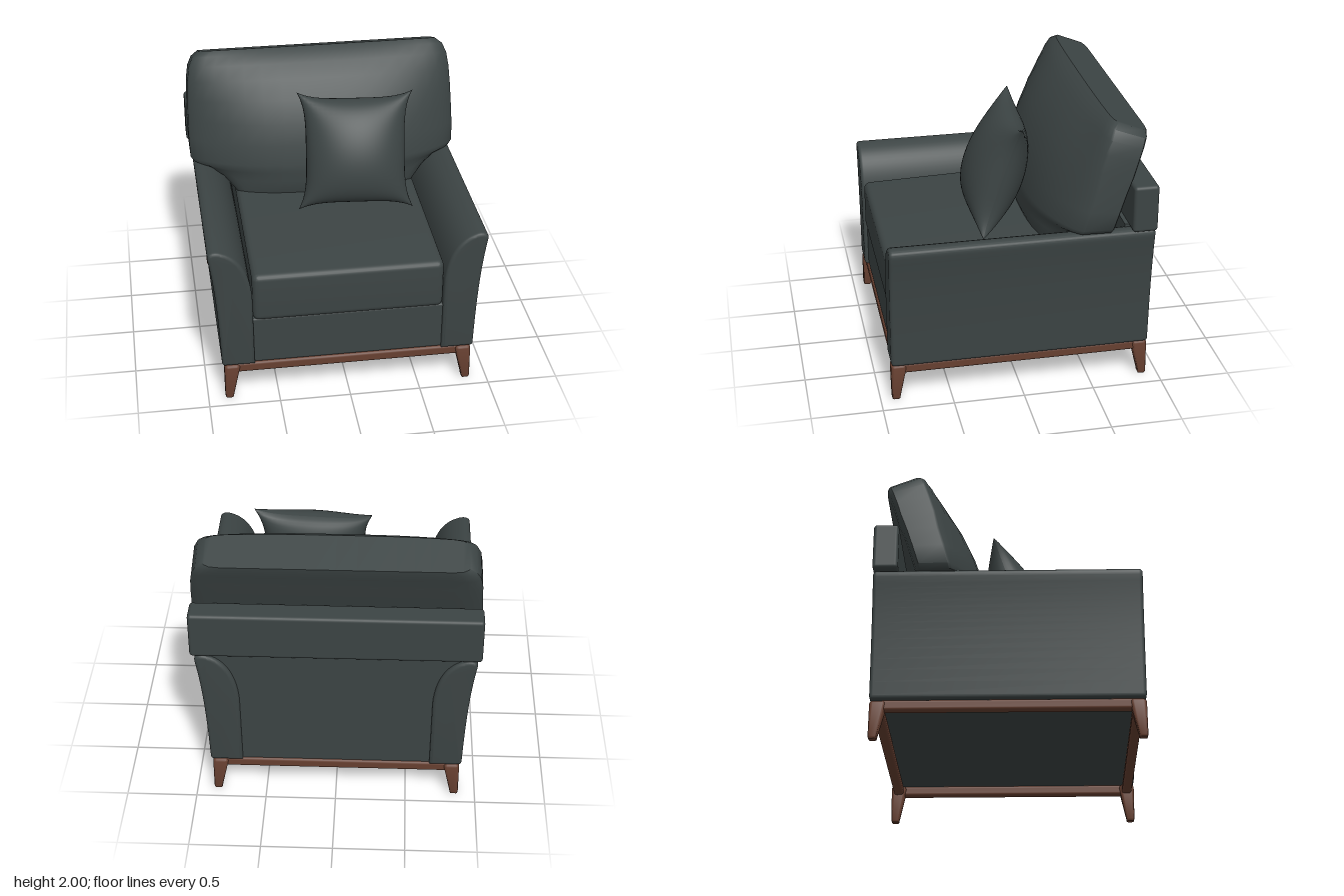
import * as THREE from 'three';
import { toCreasedNormals } from 'three/addons/utils/BufferGeometryUtils.js';
import { RoundedBoxGeometry } from 'three/addons/geometries/RoundedBoxGeometry.js';

const fabric = new THREE.MeshStandardMaterial({ color: 0x3c4444 });
fabric.name = 'charcoal fabric';
const wood = new THREE.MeshStandardMaterial({ color: 0x663f30 });
wood.name = 'walnut wood';

function add(parent, name, geometry, material, x = 0, y = 0, z = 0) {
  const mesh = new THREE.Mesh(geometry, material);
  mesh.name = name;
  mesh.position.set(x, y, z);
  parent.add(mesh);
  return mesh;
}

// Moves every vertex by a rule, then refreshes the normals
function warp(geometry, rule, crease) {
  const p = geometry.attributes.position;
  const v = new THREE.Vector3();
  for (let i = 0; i < p.count; i++) {
    rule(v.fromBufferAttribute(p, i));
    p.setXYZ(i, v.x, v.y, v.z);
  }
  if (crease) return toCreasedNormals(geometry, crease);
  geometry.computeVertexNormals();
  return geometry;
}

// Flared arm: outline of its front, drawn out along z
function armGeometry(side) {
  const s = new THREE.Shape();
  s.moveTo(side * 0.665, 0.275);
  s.lineTo(side * 0.67, 0.82);
  s.bezierCurveTo(side * 0.68, 1.0, side * 0.74, 1.15, side * 0.87, 1.195);
  s.quadraticCurveTo(side * 0.92, 1.215, side * 0.95, 1.195);
  s.quadraticCurveTo(side * 0.968, 1.185, side * 0.965, 1.15);
  s.bezierCurveTo(side * 0.93, 0.95, side * 0.91, 0.75, side * 0.895, 0.3);
  s.quadraticCurveTo(side * 0.895, 0.275, side * 0.87, 0.275);
  s.closePath();
  const g = new THREE.ExtrudeGeometry(s, {
    depth: 1.79, bevelThickness: 0.025, bevelSize: 0.025, bevelOffset: -0.025, bevelSegments: 4, curveSegments: 14,
  });
  g.translate(0, 0, -0.895);
  return toCreasedNormals(g, 0.7);
}

// Rear panel that fills the space between the flared arms
function backPanelGeometry() {
  const s = new THREE.Shape();
  s.moveTo(-0.69, 0.28);
  s.lineTo(0.69, 0.28);
  s.lineTo(0.69, 0.82);
  s.bezierCurveTo(0.7, 1.0, 0.76, 1.13, 0.88, 1.19);
  s.lineTo(0.88, 1.22);
  s.lineTo(-0.88, 1.22);
  s.lineTo(-0.88, 1.19);
  s.bezierCurveTo(-0.76, 1.13, -0.7, 1.0, -0.69, 0.82);
  s.closePath();
  const g = new THREE.ExtrudeGeometry(s, { depth: 0.17, bevelEnabled: false });
  g.translate(0, 0, -0.89);
  return toCreasedNormals(g, 0.6);
}

// T-shaped back cushion lofted upward: [y, half width, side front z, centre front z, back z]
function backCushionGeometry() {
  const rows = [
    [0.98, 0.64, -0.24, -0.17, -0.55],
    [1.05, 0.69, -0.25, -0.145, -0.58],
    [1.12, 0.75, -0.28, -0.14, -0.60],
    [1.19, 0.86, -0.33, -0.14, -0.62],
    [1.215, 0.96, -0.37, -0.14, -0.63],
    [1.25, 0.985, -0.38, -0.145, -0.64],
    [1.4, 0.99, -0.42, -0.175, -0.68],
    [1.55, 0.988, -0.46, -0.225, -0.72],
    [1.7, 0.982, -0.49, -0.30, -0.765],
    [1.83, 0.975, -0.53, -0.395, -0.80],
    [1.92, 0.96, -0.56, -0.48, -0.83],
    [1.975, 0.93, -0.585, -0.545, -0.852],
    [2.0, 0.88, -0.62, -0.6, -0.86],
  ];
  const N = 20, L = 2 * (N + 1);
  const pos = [], idx = [];
  for (const [y, w, zs, zc, zb] of rows) {
    const lean = 0.38 * (y - 0.98) ** 2;
    for (let k = 0; k < L; k++) {
      const front = k <= N;
      const s = Math.sin((front ? k / N - 0.5 : 0.5 - (k - N - 1) / N) * Math.PI);
      const a = Math.abs(s);
      const z = front ? zs + (zc - zs) * (1 - a ** 3) - 0.03 * a ** 30 : zb + 0.03 * a ** 30;
      pos.push(s * w, y - lean * (zc - z), z);
    }
  }
  for (let r = 0; r < rows.length - 1; r++) {
    for (let k = 0; k < L; k++) {
      const a = r * L + k, b = r * L + (k + 1) % L;
      idx.push(a, b, b + L, a, b + L, a + L);
    }
  }
  // Strips between front and back edges close both ends
  const top = (rows.length - 1) * L;
  for (let k = 0; k < N; k++) {
    const p = k, q = k + 1, r = L - 2 - k, t = L - 1 - k;
    idx.push(top + p, top + q, top + r, top + p, top + r, top + t);
    idx.push(q, p, r, p, t, r);
  }
  const g = new THREE.BufferGeometry();
  g.setAttribute('position', new THREE.Float32BufferAttribute(pos, 3));
  g.setIndex(idx);
  return toCreasedNormals(g, 0.75);
}

// One face of the throw pillow, with pointed corners and drawn-in sides
function pillowFace(dir) {
  const g = new THREE.PlaneGeometry(2, 2, 28, 28);
  if (dir < 0) g.rotateY(Math.PI);
  return warp(g, (p) => {
    const u = Math.sin(p.x * Math.PI / 2), v = Math.sin(p.y * Math.PI / 2);
    const puff = Math.max(0, (1 - u * u) * (1 - v * v)) ** 0.45;
    p.set(u * (0.355 + 0.06 * v ** 4), v * (0.375 + 0.05 * u ** 4), dir * 0.215 * puff * (1 - 0.12 * v));
  });
}

export function createModel() {
  const chair = new THREE.Group();
  chair.name = 'armchair';

  // Upholstered body
  add(chair, 'seatBase', new RoundedBoxGeometry(1.36, 0.36, 1.76, 3, 0.015), fabric, 0, 0.455, 0.01);
  add(chair, 'leftArm', armGeometry(1), fabric);
  add(chair, 'rightArm', armGeometry(-1), fabric);
  add(chair, 'backPanel', backPanelGeometry(), fabric);
  add(chair, 'backRail', new RoundedBoxGeometry(1.99, 0.34, 0.175, 4, 0.025), fabric, 0, 1.372, -0.836);

  // Cushions
  const seat = new RoundedBoxGeometry(1.335, 0.365, 1.6, 5, 0.045);
  const seatShape = warp(seat, (p) => { if (p.y > 0) p.y += (0.8 - p.z) * 0.03; }, 0.7);
  add(chair, 'seatCushion', seatShape, fabric, 0, 0.803, 0.105);
  add(chair, 'backCushion', backCushionGeometry(), fabric);

  const pillow = new THREE.Group();
  pillow.name = 'throwPillow';
  add(pillow, 'pillowFront', pillowFace(1), fabric);
  add(pillow, 'pillowBack', pillowFace(-1), fabric);
  pillow.position.set(0.175, 1.45, 0.045);
  pillow.rotation.set(-0.32, -0.07, -0.03);
  chair.add(pillow);

  // Wooden plinth rails
  for (const s of [-1, 1]) {
    add(chair, 'sideRail', new RoundedBoxGeometry(0.07, 0.075, 1.7, 3, 0.02), wood, s * 0.835, 0.238, 0);
    add(chair, s > 0 ? 'frontRail' : 'rearRail', new RoundedBoxGeometry(1.62, 0.075, 0.07, 3, 0.02), wood, 0, 0.238, s * 0.865);
  }

  // Tapered legs, upright on their outer faces
  for (const sx of [-1, 1]) {
    for (const sz of [-1, 1]) {
      const leg = warp(new RoundedBoxGeometry(0.11, 0.272, 0.11, 4, 0.025), (p) => {
        const k = 1 - 0.45 * Math.min(1, Math.max(0, (0.11 - p.y) / 0.22));
        p.x = sx * 0.055 + (p.x - sx * 0.055) * k;
        p.z = sz * 0.055 + (p.z - sz * 0.055) * k;
        if (p.y < 0) p.y = Math.max(-0.136, p.y * 1.02);
      }, 0.7);
      add(chair, (sz > 0 ? 'front' : 'rear') + (sx > 0 ? 'Left' : 'Right') + 'Leg', leg, wood, sx * 0.825, 0.136, sz * 0.865);
    }
  }
  return chair;
}
